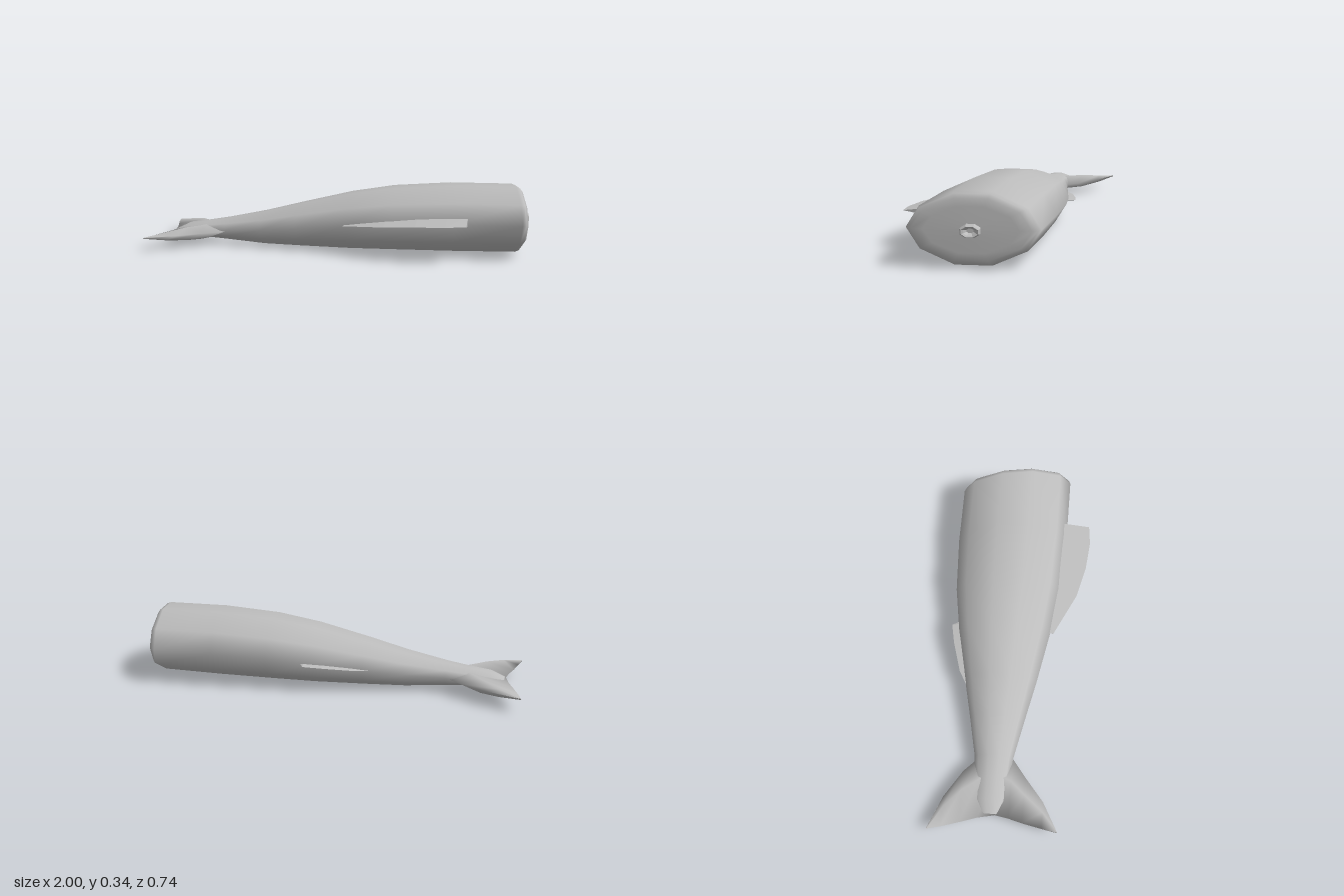
import * as THREE from 'three';

const grey = new THREE.MeshStandardMaterial({ color: 0xbcbcbc });
grey.name = 'grey';

// Skin a list of equal-length rings of [x, y, z], closing both ends.
function loft(rings, flat = false) {
  const n = rings[0].length, pos = rings.flat(2), idx = [];
  for (let i = 0; i < rings.length - 1; i++) {
    for (let j = 0; j < n; j++) {
      const a = i * n + j, b = i * n + (j + 1) % n;
      idx.push(a, b, a + n, b, b + n, a + n);
    }
  }
  const last = (rings.length - 1) * n;
  for (let j = 1; j < n - 1; j++) {
    idx.push(0, j + 1, j, last, last + j, last + j + 1);
  }
  // Signed volume tells whether the corners need reversing to face outward.
  const p = k => new THREE.Vector3().fromArray(pos, k * 3);
  let volume = 0;
  for (let k = 0; k < idx.length; k += 3) {
    volume += p(idx[k]).dot(p(idx[k + 1]).cross(p(idx[k + 2])));
  }
  if (volume < 0) idx.reverse();
  let g = new THREE.BufferGeometry();
  g.setAttribute('position', new THREE.Float32BufferAttribute(pos, 3));
  g.setIndex(idx);
  if (flat) g = g.toNonIndexed();
  g.computeVertexNormals();
  return g;
}

export function createModel() {
  const group = new THREE.Group();
  const add = (name, geometry) => {
    const m = new THREE.Mesh(geometry, grey);
    m.name = name;
    group.add(m);
    return m;
  };
  const axisZ = -0.06;

  // Ten-sided section, as fractions of half height and half width
  const section = [[1, 0.28], [0.58, 0.8], [0, 1], [-0.58, 0.8], [-1, 0.28],
    [-1, -0.28], [-0.58, -0.8], [0, -1], [0.58, -0.8], [1, -0.28]];
  // Stations: x, bottom, top, half width, slant
  const stations = [
    [-0.90, 0.06, 0.07, 0.04, 0], [-0.83, 0.037, 0.102, 0.08, 0],
    [-0.72, 0.028, 0.117, 0.09, 0], [-0.61, 0.02, 0.135, 0.10, 0],
    [-0.40, 0.005, 0.177, 0.145, 0], [-0.20, 0.002, 0.226, 0.19, 0],
    [0.07, 0, 0.288, 0.245, 0.05], [0.30, 0.003, 0.324, 0.28, 0.08],
    [0.60, 0.006, 0.344, 0.295, 0.12], [0.92, 0.012, 0.344, 0.295, 0.16],
    [0.94, 0.02, 0.337, 0.285, 0.16], [0.953, 0.04, 0.318, 0.262, 0.16],
    [0.957, 0.075, 0.283, 0.21, 0.16], [0.96, 0.17, 0.19, 0.02, 0.16],
  ];
  add('body', loft(stations.map(([x, lo, hi, w, slant]) =>
    section.map(([v, u]) => [
      x + slant * u * w, (lo + hi) / 2 + v * (hi - lo) / 2, axisZ + u * w]))));

  // Tail flukes: z, leading x, trailing x, half thickness
  const flukes = [
    [-0.37, -0.995, -1, 0.001], [-0.30, -0.83, -0.983, 0.018],
    [-0.21, -0.69, -0.955, 0.034], [-0.12, -0.60, -0.925, 0.037],
    [-0.03, -0.57, -0.905, 0.037], [0.04, -0.61, -0.917, 0.036],
    [0.11, -0.70, -0.935, 0.034], [0.21, -0.82, -0.955, 0.02],
    [0.29, -0.965, -0.97, 0.001],
  ];
  add('tailFlukes', loft(flukes.map(([z, a, b, t]) => {
    const mid = a * 0.6 + b * 0.4;
    return [[a, 0.07, z], [mid, 0.067 + t, z], [b, 0.065, z], [mid, 0.065 - t, z]];
  })));

  // Side fins: wedge sections from a thick root to a sharp outer edge.
  // Stations: x, outer z, y, half thickness of root
  const fin = (name, rootZ, rows) => add(name, loft(rows.map(([x, z, y, t]) =>
    [[x, y + t, rootZ], [x, y, z], [x, y - t, rootZ]]), true));
  fin('leftFin', 0.15, [
    [0.07, 0.2, 0.147, 0.004], [0.29, 0.31, 0.165, 0.02],
    [0.45, 0.35, 0.176, 0.026], [0.60, 0.365, 0.182, 0.03], [0.70, 0.355, 0.185, 0.03],
  ]);
  fin('rightFin', -0.16, [
    [-0.29, -0.21, 0.108, 0.004], [-0.17, -0.28, 0.118, 0.014],
    [-0.02, -0.325, 0.132, 0.022], [0.08, -0.345, 0.14, 0.026], [0.11, -0.29, 0.143, 0.026],
  ]);

  // Small oval nozzle with a recessed centre on the blunt end
  const profile = [[0, 0.012], [0.017, 0.012], [0.03, 0.03], [0.04, 0.036],
    [0.048, 0.028], [0.048, -0.03]].reverse().map(([r, h]) => new THREE.Vector2(r, h));
  let ring = new THREE.LatheGeometry(profile, 8, Math.PI / 8).toNonIndexed();
  ring.computeVertexNormals();
  ring.rotateZ(-Math.PI / 2).scale(1, 0.63, 1).rotateY(0.16);
  add('nozzle', ring).position.set(0.96, 0.18, axisZ);

  return group;
}
